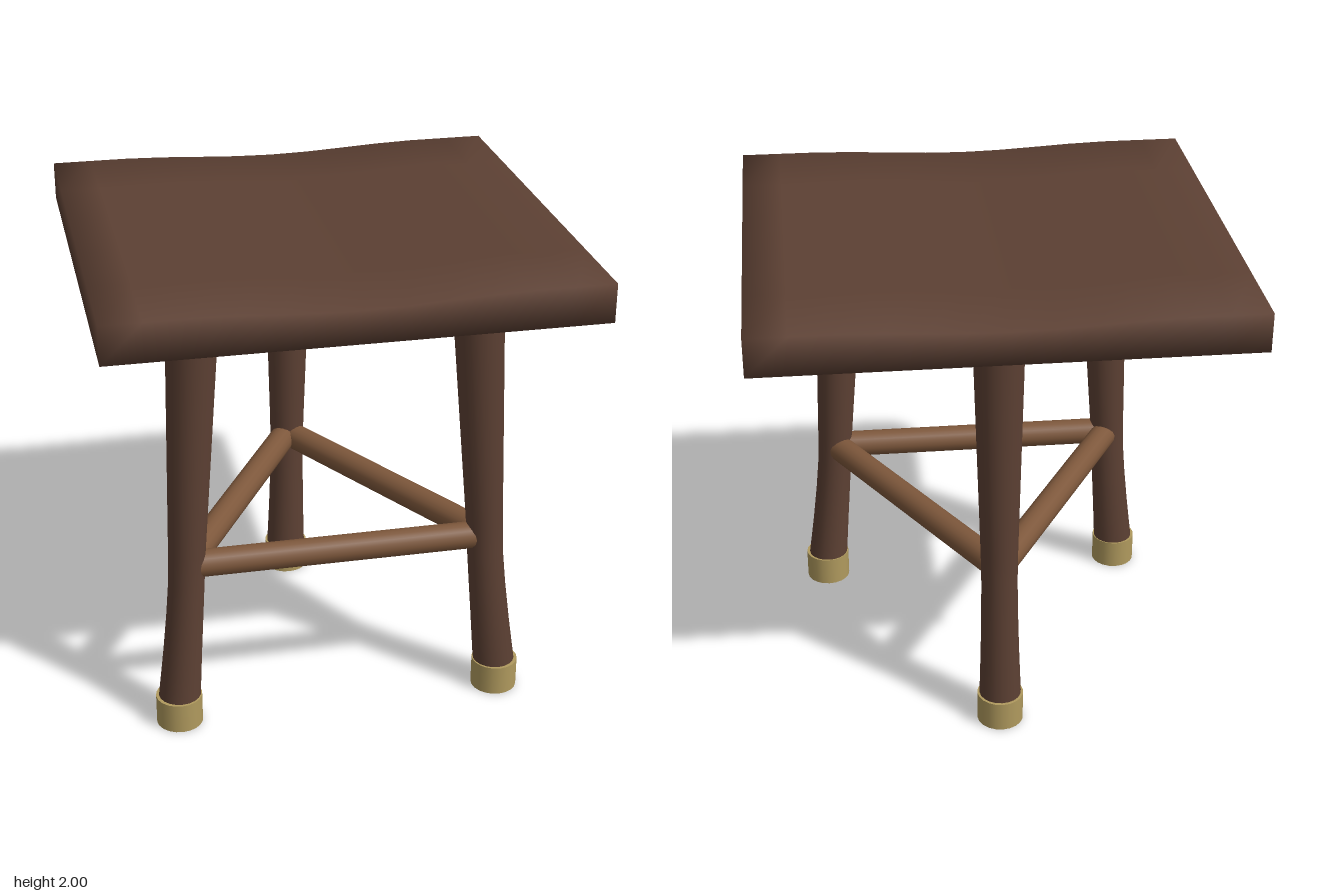
import * as THREE from 'three';
import { mergeVertices } from 'three/addons/utils/BufferGeometryUtils.js';

const paint = (color) => new THREE.MeshStandardMaterial({ color });
const darkWood = paint(0x5c4033);
const lightWood = paint(0x7d573b);
const brass = paint(0xb09a5e);

// Leg stations: height, radius, outward lean measured from the foot
const STATIONS = [
  [0.08, 0.091, 0], [0.13, 0.089, 0.004], [0.33, 0.082, 0.024], [0.5, 0.078, 0.04],
  [0.66, 0.076, 0.053], [0.8, 0.078, 0.06], [1.84, 0.107, 0.117], [1.9, 0.109, 0.12],
];
// Foot centres with the lean direction of each leg
const LEGS = [
  { name: 'frontLeftLeg', x: 0.692, z: 0.557, lx: -1, lz: -0.74 },
  { name: 'frontRightLeg', x: -0.692, z: 0.557, lx: 1, lz: -0.74 },
  { name: 'backLeg', x: 0, z: -0.642, lx: 0, lz: 0.88 },
];
const leanAt = (y) => {
  let i = 1;
  while (i < STATIONS.length - 1 && STATIONS[i][0] < y) i++;
  const [y0, , a] = STATIONS[i - 1], [y1, , b] = STATIONS[i];
  return a + ((b - a) * (y - y0)) / (y1 - y0);
};
const legCentre = (leg, y) =>
  new THREE.Vector3(leg.x + leg.lx * leanAt(y), y, leg.z + leg.lz * leanAt(y));

function mesh(name, geometry, material) {
  const m = new THREE.Mesh(geometry, material);
  m.name = name;
  return m;
}

// Softly shaded slab whose top sags across the middle
function makeSeat() {
  let g = new THREE.BoxGeometry(1.96, 0.16, 1.86, 12, 1, 5);
  g.deleteAttribute('normal');
  g.deleteAttribute('uv');
  g = mergeVertices(g);
  const p = g.attributes.position;
  for (let i = 0; i < p.count; i++) {
    const x = Math.abs(p.getX(i));
    if (p.getY(i) > 0 && x < 0.7) {
      p.setY(i, p.getY(i) - 0.025 * Math.cos((x / 0.7) * Math.PI / 2) ** 2);
    }
  }
  g.computeVertexNormals();
  const seat = mesh('seat', g, darkWood);
  seat.position.y = 1.92;
  return seat;
}

// Turned leg, sheared ring by ring along its lean
function makeLeg(leg) {
  const group = new THREE.Group();
  group.name = leg.name;
  const g = new THREE.LatheGeometry(STATIONS.map(([y, r]) => new THREE.Vector2(r, y)), 20);
  const p = g.attributes.position;
  for (let i = 0; i < p.count; i++) {
    const c = legCentre(leg, p.getY(i));
    p.setX(i, p.getX(i) + c.x);
    p.setZ(i, p.getZ(i) + c.z);
  }
  group.add(mesh('legShaft', g, darkWood));
  const foot = mesh('footCap', new THREE.CylinderGeometry(0.098, 0.098, 0.13, 20), brass);
  foot.position.set(leg.x, 0.065, leg.z);
  group.add(foot);
  return group;
}

// Round rail between two legs
function makeStretcher(name, legA, legB) {
  const a = legCentre(legA, 0.73), b = legCentre(legB, 0.73);
  const rod = mesh(name, new THREE.CylinderGeometry(0.058, 0.058, a.distanceTo(b), 16), lightWood);
  rod.position.copy(a).lerp(b, 0.5);
  rod.quaternion.setFromUnitVectors(new THREE.Vector3(0, 1, 0), b.sub(a).normalize());
  return rod;
}

export function createModel() {
  const model = new THREE.Group();
  model.name = 'stool';
  model.add(makeSeat());
  LEGS.forEach((leg) => model.add(makeLeg(leg)));
  const [left, right, back] = LEGS;
  model.add(makeStretcher('frontStretcher', left, right));
  model.add(makeStretcher('leftStretcher', left, back));
  model.add(makeStretcher('rightStretcher', right, back));
  return model;
}
